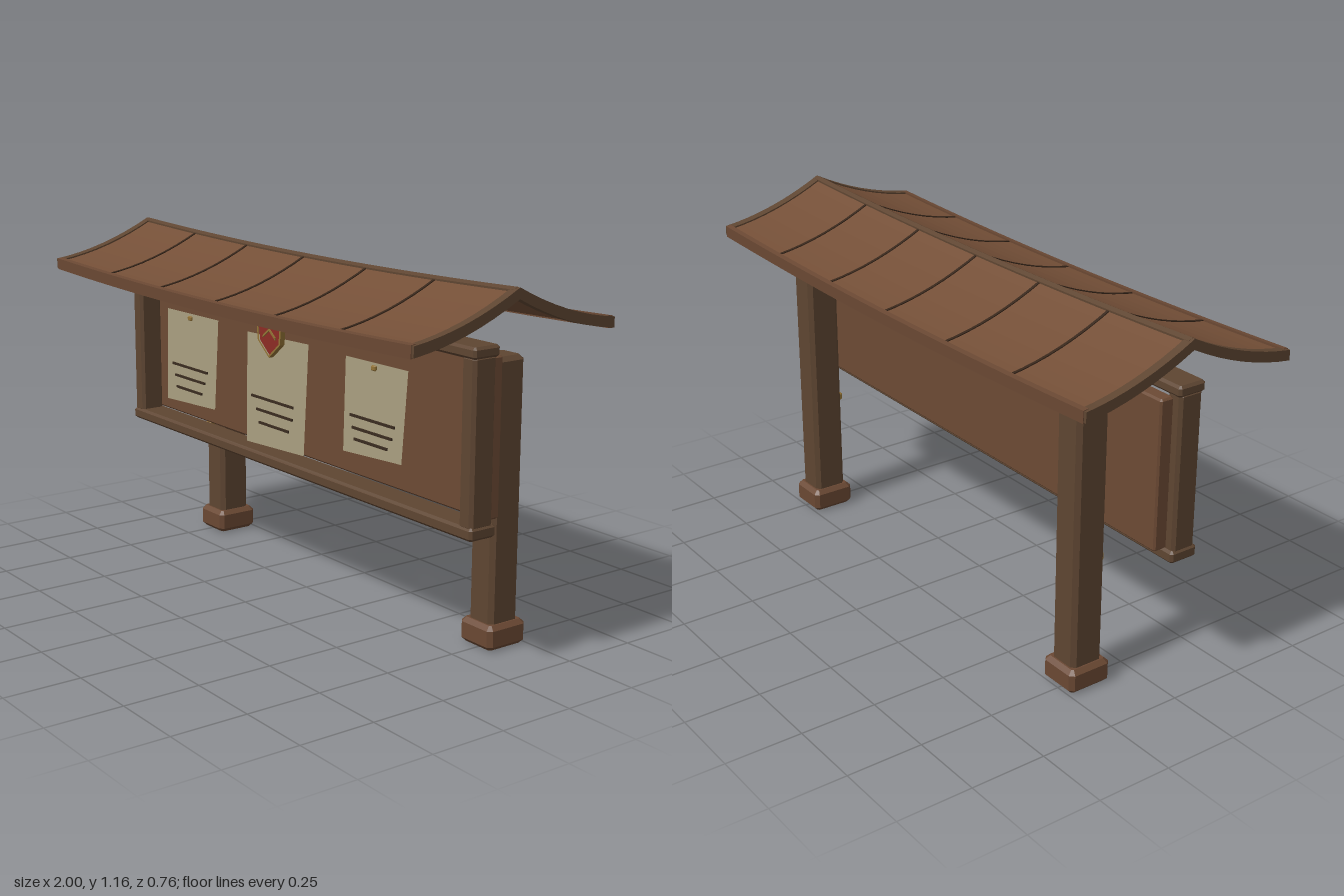
import * as THREE from 'three';

const mat = (color, side = THREE.FrontSide) =>
  new THREE.MeshStandardMaterial({ color, side, flatShading: true });

const roofWood = mat(0x744f37);
const panelWood = mat(0x6c4a34);
const frameWood = mat(0x5e4531);
const footWood = mat(0x6a4833);
const seamWood = mat(0x38271b);
const paper = mat(0xaa9f80, THREE.DoubleSide);
const ink = mat(0x3a2c20);
const brass = mat(0x927235);
const red = mat(0x8c2b25);

function add(parent, name, geometry, material, x = 0, y = 0, z = 0) {
  const mesh = new THREE.Mesh(geometry, material);
  mesh.name = name;
  mesh.position.set(x, y, z);
  parent.add(mesh);
  return mesh;
}

function polygon(points) {
  return new THREE.Shape(points.map(([x, y]) => new THREE.Vector2(x, y)));
}

// Box with every edge chamfered by c, centred on the origin
function chamferBox(w, h, d, c) {
  const a = w / 2, b = d / 2;
  const outline = polygon([
    [-a + c, -b], [a - c, -b], [a, -b + c], [a, b - c],
    [a - c, b], [-a + c, b], [-a, b - c], [-a, -b + c],
  ]);
  return new THREE.ExtrudeGeometry(outline, {
    depth: h - 2 * c, bevelEnabled: true, bevelSegments: 1,
    bevelSize: c, bevelThickness: c, bevelOffset: -c,
  }).translate(0, 0, c - h / 2).rotateX(-Math.PI / 2);
}

// Roof height: concave slopes falling from the ridge
const roofY = (z) => 1.138 - 0.52 * Math.abs(z) + 0.53 * z * z;

// Piece of the roof between z0..z1 and x0..x1, swept up towards both ends
function roofPiece(z0, z1, x0, x1, top, bottom, divisions, steps) {
  const upper = [], lower = [];
  for (let i = 0; i <= divisions; i++) {
    const z = z0 + ((z1 - z0) * i) / divisions;
    upper.push([-z, roofY(z) + top]);
    lower.unshift([-z, roofY(z) + bottom]);
  }
  const geometry = new THREE.ExtrudeGeometry(polygon([...upper, ...lower]), {
    depth: x1 - x0, steps, bevelEnabled: false,
  }).translate(0, 0, x0).rotateY(Math.PI / 2);
  const p = geometry.attributes.position;
  for (let i = 0; i < p.count; i++) {
    p.setY(i, p.getY(i) + 0.02 * p.getX(i) ** 2);
  }
  geometry.computeVertexNormals();
  return geometry;
}

function buildRoof() {
  const roof = new THREE.Group();
  roof.name = 'roof';
  add(roof, 'roofSlab', roofPiece(-0.372, 0.372, -0.985, 0.985, -0.005, -0.028, 16, 18), roofWood);
  add(roof, 'ridgeStrip', roofPiece(-0.014, 0.014, -0.99, 0.99, 0.001, -0.032, 2, 18), frameWood);
  for (const s of [-1, 1]) {
    const [z0, z1] = s > 0 ? [0.362, 0.38] : [-0.38, -0.362];
    add(roof, 'eaveStrip', roofPiece(z0, z1, -0.99, 0.99, 0.002, -0.036, 1, 18), footWood);
    add(roof, 'endRim', roofPiece(-0.378, 0.378, s * 0.985 - 0.015, s * 0.985 + 0.015, 0, -0.033, 16, 1), frameWood);
  }
  // Seams between the roof boards
  for (let i = -2; i <= 2; i++) {
    const x = i * 0.325;
    add(roof, 'roofSeam', roofPiece(-0.365, 0.365, x - 0.005, x + 0.005, -0.002, -0.02, 16, 1), seamWood);
  }
  return roof;
}

function buildBoard() {
  const board = new THREE.Group();
  board.name = 'board';
  add(board, 'backPanel', chamferBox(1.82, 0.485, 0.05, 0.006), panelWood, 0, 0.708, -0.005);
  add(board, 'topRail', chamferBox(1.885, 0.036, 0.1, 0.008), frameWood, 0, 0.973, 0.06);
  add(board, 'bottomRail', chamferBox(1.885, 0.04, 0.1, 0.008), frameWood, 0, 0.445, 0.06);
  for (const s of [-1, 1]) {
    add(board, 'sideStile', chamferBox(0.058, 0.51, 0.086, 0.01), frameWood, s * 0.909, 0.709, 0.062);
  }
  return board;
}

function buildPost(s) {
  const post = new THREE.Group();
  post.name = 'post';
  post.position.x = s * 0.742;
  add(post, 'postShaft', chamferBox(0.105, 0.87, 0.115, 0.014), frameWood, 0, 0.475, -0.172);
  add(post, 'postFoot', chamferBox(0.142, 0.08, 0.153, 0.014), footWood, 0, 0.04, -0.172);
  add(post, 'postPeg', chamferBox(0.034, 0.028, 0.022, 0.005), brass, 0, 0.407, -0.1);
  return post;
}

// Sheet from four corners, with written lines [x0, x1, y] and an optional pin
function buildNotice(corners, lines, pinX) {
  const notice = new THREE.Group();
  notice.name = 'notice';
  add(notice, 'sheet', new THREE.ShapeGeometry(polygon(corners)), paper, 0, 0, 0.12);
  for (const [x0, x1, y] of lines) {
    add(notice, 'writtenLine', new THREE.BoxGeometry(x1 - x0, 0.008, 0.005), ink, (x0 + x1) / 2, y, 0.123);
  }
  if (pinX !== undefined) {
    add(notice, 'pin', chamferBox(0.022, 0.016, 0.01, 0.003), brass, pinX, 0.863, 0.125);
  }
  return notice;
}

function buildShield() {
  const shield = new THREE.Group();
  shield.name = 'shield';
  const outline = (k) => [
    [-0.052, 0.055], [0.052, 0.055], [0.068, 0.04], [0.062, -0.01],
    [0, -0.06], [-0.062, -0.01], [-0.068, 0.04],
  ].map(([x, y]) => [x * k, y * k]);
  const rim = polygon(outline(1));
  rim.holes.push(polygon(outline(0.87)));
  const plate = (shape, depth) => new THREE.ExtrudeGeometry(shape, { depth, bevelEnabled: false });
  add(shield, 'shieldRim', plate(rim, 0.018), brass, 0, 0, -0.009);
  add(shield, 'shieldFace', plate(polygon(outline(0.88)), 0.012), red, 0, 0, -0.007);
  // Small raised chevron and the peg behind the plate
  const chevron = polygon([[-0.034, 0.01], [0, 0.036], [0.034, 0.01], [0.034, 0.002], [0, 0.028], [-0.034, 0.002]]);
  add(shield, 'shieldChevron', plate(chevron, 0.005), brass, 0, 0, 0.004);
  add(shield, 'shieldPeg', new THREE.CylinderGeometry(0.008, 0.008, 0.018, 8).rotateX(Math.PI / 2), brass, 0, -0.01, -0.014);
  shield.position.set(0, 0.872, 0.141);
  return shield;
}

export function createModel() {
  const model = new THREE.Group();
  model.name = 'noticeBoard';
  model.add(buildRoof(), buildBoard(), buildPost(-1), buildPost(1));
  model.add(
    buildNotice(
      [[-0.679, 0.548], [-0.369, 0.564], [-0.342, 0.88], [-0.668, 0.877]],
      [[-0.636, -0.412, 0.685], [-0.62, -0.428, 0.645], [-0.61, -0.449, 0.604]], -0.513),
    buildNotice(
      [[-0.176, 0.495], [0.15, 0.511], [0.176, 0.88], [-0.166, 0.87]],
      [[-0.139, 0.096, 0.66], [-0.112, 0.091, 0.618], [-0.096, 0.07, 0.575]]),
    buildNotice(
      [[0.358, 0.575], [0.642, 0.591], [0.668, 0.88], [0.369, 0.877]],
      [[0.396, 0.61, 0.698], [0.406, 0.599, 0.66], [0.417, 0.578, 0.625]], 0.513),
    buildShield());
  return model;
}
